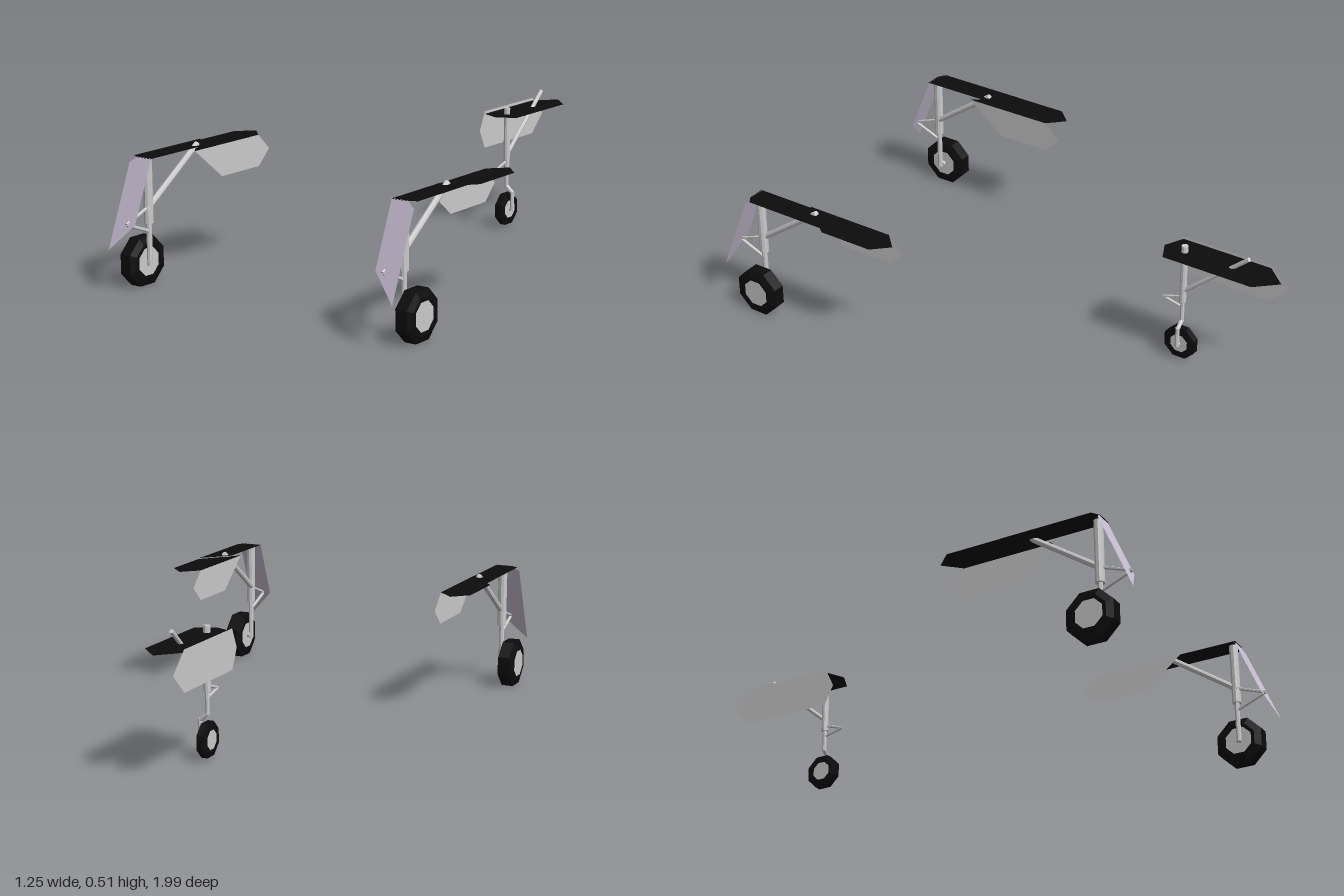
import * as THREE from 'three';

const grey = new THREE.MeshStandardMaterial({ color: 0xcccccc, flatShading: true });
const greySheet = new THREE.MeshStandardMaterial({ color: 0xcccccc, side: THREE.DoubleSide });
const black = new THREE.MeshStandardMaterial({ color: 0x0c0c0c, flatShading: true, side: THREE.DoubleSide });
const mauve = new THREE.MeshStandardMaterial({ color: 0xcabfd4, side: THREE.DoubleSide });

const V = (x, y, z) => new THREE.Vector3(x, y, z);

function add(parent, name, geometry, material) {
  const mesh = new THREE.Mesh(geometry, material);
  mesh.name = name;
  parent.add(mesh);
  return mesh;
}

// Round bar between two points
function bar(parent, name, a, b, radius, sides = 8) {
  const mesh = add(parent, name, new THREE.CylinderGeometry(radius, radius, a.distanceTo(b), sides), grey);
  mesh.position.copy(a).add(b).multiplyScalar(0.5);
  mesh.quaternion.setFromUnitVectors(V(0, 1, 0), b.clone().sub(a).normalize());
  return mesh;
}

// Thin flat panel: 2D outline placed in space by a rule
function panel(parent, name, outline, place, material) {
  const geo = new THREE.ShapeGeometry(new THREE.Shape(outline.map(([u, v]) => new THREE.Vector2(u, v))));
  const p = geo.attributes.position;
  for (let i = 0; i < p.count; i++) p.setXYZ(i, ...place(p.getX(i), p.getY(i)));
  geo.computeVertexNormals();
  return add(parent, name, geo, material);
}

// Eight-sided tyre with flat hub faces; apothem is the flat radius
function wheel(parent, centre, apothem, hubApothem, halfWidth) {
  const k = 1 / Math.cos(Math.PI / 8);
  const R = apothem * k, h = hubApothem * k, w = halfWidth;
  const group = new THREE.Group();
  group.name = 'wheel';
  const profile = [[h, -w], [R * 0.72, -w], [R, -w * 0.7], [R, w * 0.7], [R * 0.72, w], [h, w]];
  const tyre = new THREE.LatheGeometry(profile.map(([r, y]) => new THREE.Vector2(r, y)), 8, Math.PI / 8);
  add(group, 'tyre', tyre, black);
  add(group, 'hub', new THREE.CylinderGeometry(h, h, w * 1.96, 8, 1, false, Math.PI / 8), grey);
  group.rotation.z = Math.PI / 2;
  group.position.copy(centre);
  parent.add(group);
}

// Two links meeting at an apex ahead of the strut
function torqueLinks(parent, x, z, top, bottom, apexY, apexZ, radius) {
  const apex = V(x, apexY, apexZ);
  bar(parent, 'upperTorqueLink', V(x, top, z), apex, radius, 6);
  bar(parent, 'lowerTorqueLink', V(x, bottom, z), apex, radius, 6);
}

// Main gear for one side (s = 1 left, -1 right)
function mainGear(s) {
  const g = new THREE.Group();
  g.name = s > 0 ? 'leftMainGear' : 'rightMainGear';
  const x = s * 0.55, z = 0.85, top = 0.467;

  bar(g, 'strut', V(x, 0.23, z), V(x, 0.465, z), 0.017, 10);
  bar(g, 'piston', V(x, 0.075, z), V(x, 0.24, z), 0.01);
  bar(g, 'axle', V(x, 0.087, z - 0.008), V(s * 0.58, 0.087, z - 0.008), 0.01);
  wheel(g, V(s * 0.594, 0.087, 0.842), 0.087, 0.05, 0.032);
  bar(g, 'dragBrace', V(s * 0.546, 0.283, z + 0.01), V(s * 0.543, 0.472, 0.593), 0.011);
  torqueLinks(g, s * 0.548, z, 0.29, 0.2, 0.247, 0.967, 0.006);

  // Bay openings
  const bay = [[0.5, 0.3], [0.56, 0.24], [0.618, 0.3], [0.618, 0.51], [0.5, 0.655]];
  panel(g, 'wheelBay', bay, (u, v) => [s * u, top - 0.007, v], black);
  const slot = [[0.515, 0.6], [0.608, 0.5], [0.608, 0.852], [0.578, 0.872], [0.515, 0.872]];
  panel(g, 'strutBay', slot, (u, v) => [s * u, top, v], black);

  // Wheel door: the bay outline swung down about its inner edge
  panel(g, 'wheelDoor', bay, (u, v) => [s * 0.5, top - 0.007 - (u - 0.5), v], greySheet);

  // Strut door leaning forward from the front of the slot
  const door = [[0.515, 0.468], [0.578, 0.468], [0.608, 0.447], [0.608, 0.154], [0.515, 0.248]];
  panel(g, 'strutDoor', door, (u, v) => [s * u, v, 0.868 + (0.468 - v) * 0.41], mauve);
  return g;
}

function tailGear() {
  const g = new THREE.Group();
  g.name = 'tailGear';
  const z = -0.617;

  bar(g, 'strut', V(0, 0.24, z), V(0, 0.473, z), 0.0125, 10);
  bar(g, 'piston', V(0, 0.157, z), V(0, 0.25, z), 0.008);
  // One-sided fork beside the wheel
  bar(g, 'forkBend', V(0, 0.162, z), V(0.028, 0.136, z), 0.008);
  bar(g, 'forkLeg', V(0.028, 0.143, z), V(0.028, 0.065, z), 0.008);
  bar(g, 'axle', V(0, 0.07, z), V(0.03, 0.07, z), 0.007);
  wheel(g, V(0, 0.07, z), 0.061, 0.034, 0.017);
  bar(g, 'dragBrace', V(0, 0.285, z), V(0, 0.503, -0.87), 0.008);
  torqueLinks(g, 0, z, 0.262, 0.217, 0.236, -0.537, 0.005);

  // Bay opening and its single side door
  const bay = [[0, -0.998], [0.073, -0.92], [0.073, -0.57], [0, -0.535], [-0.073, -0.57], [-0.073, -0.92]];
  panel(g, 'tailBay', bay, (u, v) => [u, 0.448, v], black);
  panel(g, 'tailDoor', bay, (u, v) => [-0.073, 0.386 + u, v], greySheet);
  return g;
}

export function createModel() {
  const model = new THREE.Group();
  model.name = 'landingGear';
  for (const s of [1, -1]) model.add(mainGear(s));
  model.add(tailGear());
  return model;
}
